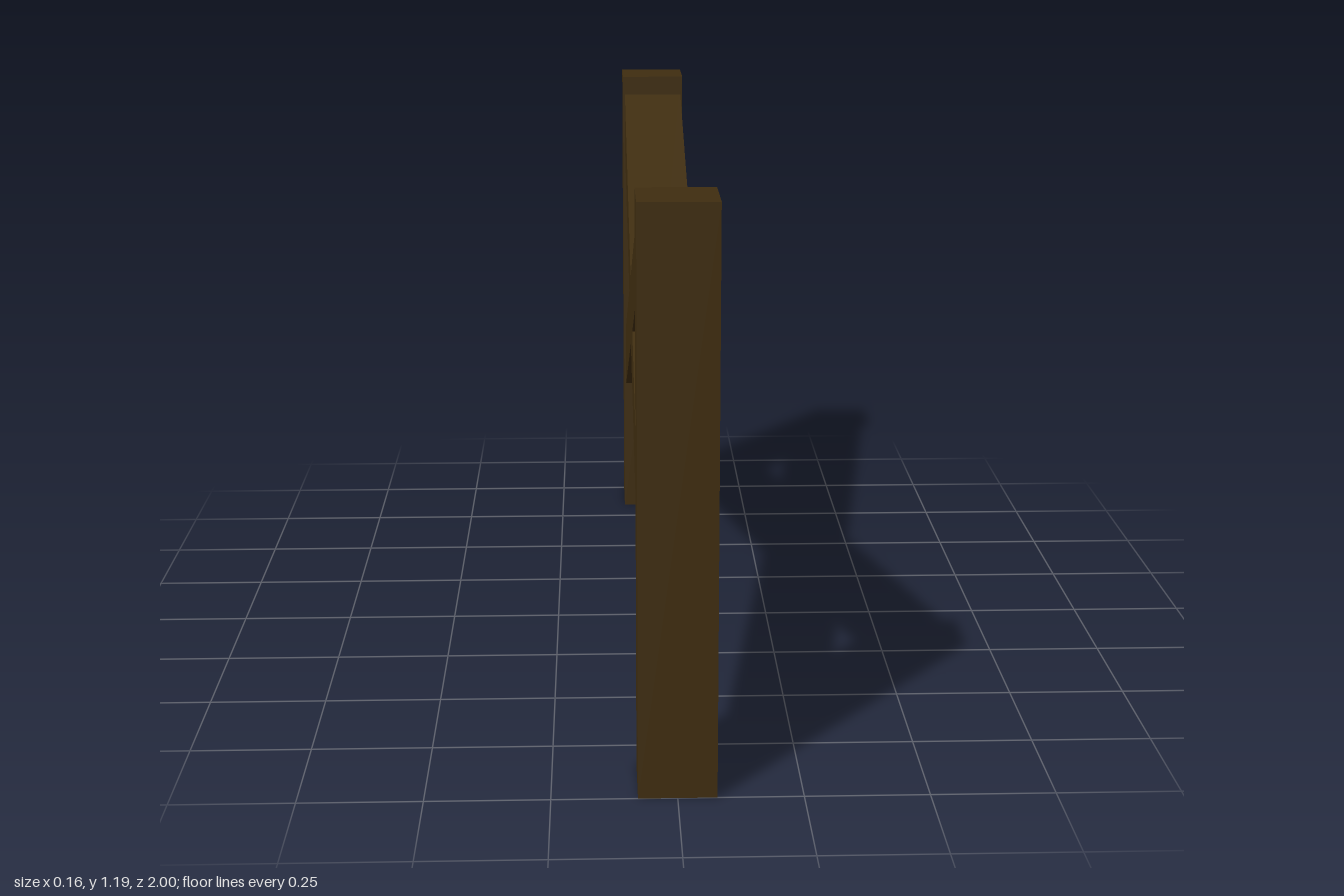
import * as THREE from 'three';

export function createModel() {
  const group = new THREE.Group();
  const darkWood = new THREE.MeshStandardMaterial({ color: 0x3f2d10 });

  function beam(name, size, position, tilt = 0) {
    const mesh = new THREE.Mesh(new THREE.BoxGeometry(...size), darkWood);
    mesh.name = name;
    mesh.position.set(...position);
    mesh.rotation.x = tilt;
    group.add(mesh);
  }

  // Upright posts at the two ends
  const postHeight = 1.19, postWidth = 0.157;
  for (const [name, side] of [['frontPost', 1], ['backPost', -1]]) {
    beam(name, [postWidth, postHeight, postWidth],
      [0, postHeight / 2, side * (1 - postWidth / 2)]);
  }

  // Crossed braces, their ends buried in the posts
  const braceWidth = 0.147, braceLength = 1.93;
  beam('braceRisingToFront', [braceWidth, 0.149, braceLength], [0, 0.752, 0], -Math.atan(0.382));
  beam('braceRisingToBack', [braceWidth, 0.149, braceLength], [0, 0.757, 0], Math.atan(0.364));

  return group;
}
